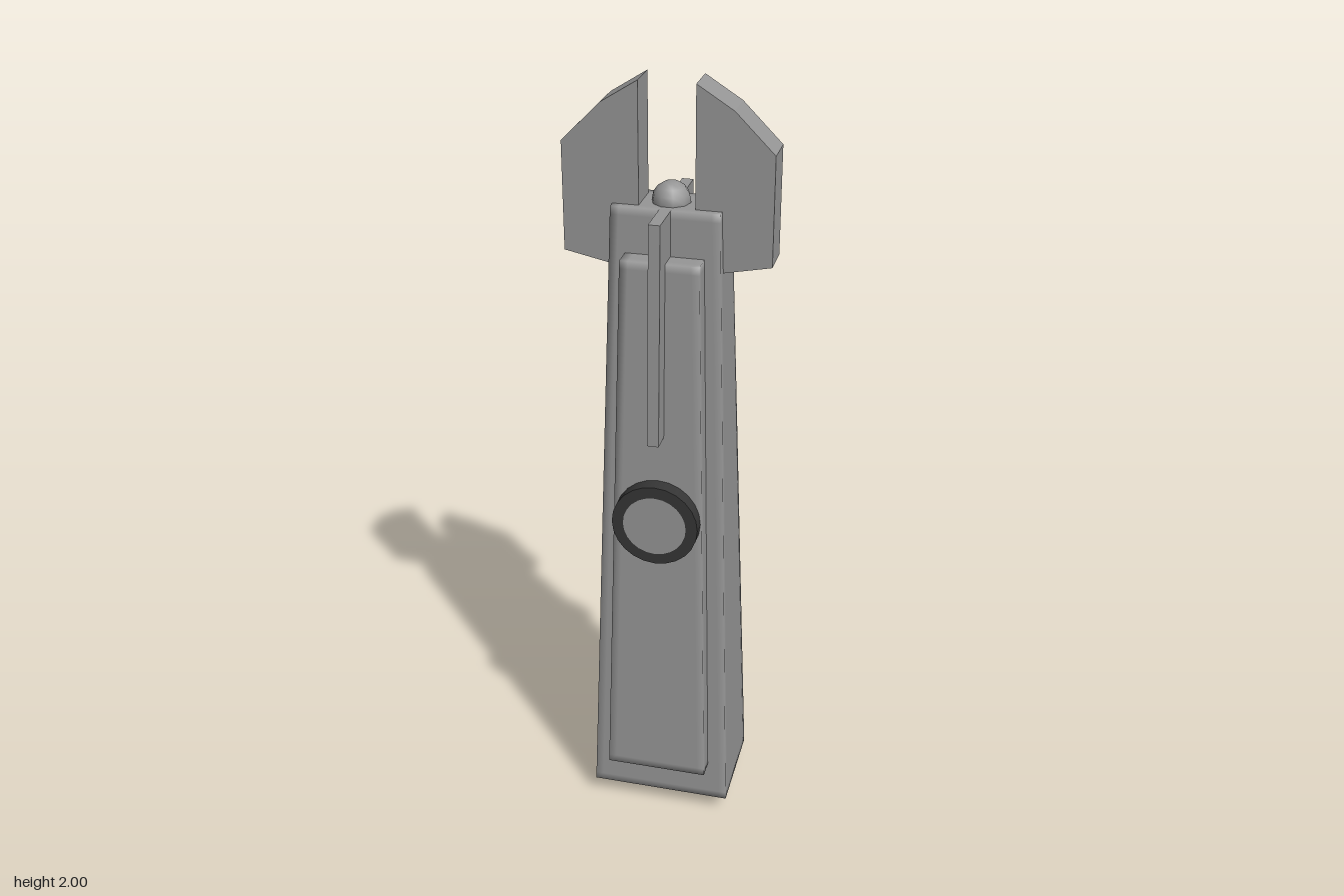
import * as THREE from 'three';
import { mergeVertices } from 'three/addons/utils/BufferGeometryUtils.js';

// Tapered block with smooth normals; extra loops near each edge keep the faces flat.
function taperedBlock(w0, d0, w1, d1, y0, y1, edge) {
  const box = new THREE.BoxGeometry(1, 1, 1, 3, 3, 3);
  box.deleteAttribute('normal');
  box.deleteAttribute('uv');
  const geo = mergeVertices(box);
  const p = geo.attributes.position;
  const slide = (v, size) => Math.abs(v) > 0.4 ? v : Math.sign(v) * (0.5 - edge / size);
  for (let i = 0; i < p.count; i++) {
    const t = slide(p.getY(i), y1 - y0) + 0.5;
    const w = w0 + (w1 - w0) * t, d = d0 + (d1 - d0) * t;
    p.setXYZ(i, slide(p.getX(i), w) * w, y0 + (y1 - y0) * t, slide(p.getZ(i), d) * d);
  }
  geo.computeVertexNormals();
  return geo;
}

// Flat profile extruded and centred on its thickness.
function plate(points, depth) {
  const shape = new THREE.Shape(points.map(([x, y]) => new THREE.Vector2(x, y)));
  return new THREE.ExtrudeGeometry(shape, { depth, bevelEnabled: false }).translate(0, 0, -depth / 2);
}

export function createModel() {
  const group = new THREE.Group();
  const metal = new THREE.MeshStandardMaterial({ color: 0x969696 });
  metal.name = 'grey metal';
  const dark = new THREE.MeshStandardMaterial({ color: 0x363636 });
  dark.name = 'dark trim';

  const add = (parent, name, geo, mat) => {
    const mesh = new THREE.Mesh(geo, mat);
    mesh.name = name;
    parent.add(mesh);
    return mesh;
  };

  // Main tapering handle and its foot
  add(group, 'body', taperedBlock(0.37, 0.26, 0.26, 0.13, 0.05, 1.71, 0.02), metal);
  add(group, 'foot', new THREE.BoxGeometry(0.23, 0.06, 0.13).translate(0, 0.03, 0), metal);

  // Raised panel running through front and back
  add(group, 'raisedPanel', taperedBlock(0.265, 0.35, 0.19, 0.24, 0.16, 1.6, 0.02), metal);

  // Ball between the jaws
  add(group, 'ball', new THREE.SphereGeometry(0.047, 10, 8).translate(0, 1.713, 0), metal);

  // Front and back details: upright rib and round button
  for (const [side, turn] of [['front', 0], ['back', Math.PI]]) {
    const face = new THREE.Group();
    face.name = side + 'Details';
    face.rotation.y = turn;
    group.add(face);

    const rib = plate([[0.05, 1.71], [0.165, 1.71], [0.188, 1.16], [0.1, 1.16]], 0.028);
    add(face, 'rib', rib.rotateY(-Math.PI / 2), metal);

    const ring = new THREE.CylinderGeometry(0.109, 0.109, 0.08, 24);
    add(face, 'buttonRing', ring.rotateX(Math.PI / 2).translate(0, 0.932, 0.139), dark);
    const disc = new THREE.CircleGeometry(0.08, 24);
    add(face, 'buttonDisc', disc.translate(0, 0.932, 0.181), metal);
  }

  // Pair of mirrored jaws at the top
  const profile = [[0.067, 1.6], [0.13, 1.56], [0.25, 1.585], [0.25, 1.85], [0.155, 1.945], [0.067, 2]];
  for (const [name, s] of [['leftJaw', 1], ['rightJaw', -1]]) {
    add(group, name, plate(profile.map(([x, y]) => [x * s, y]), 0.09), metal);
  }

  return group;
}
